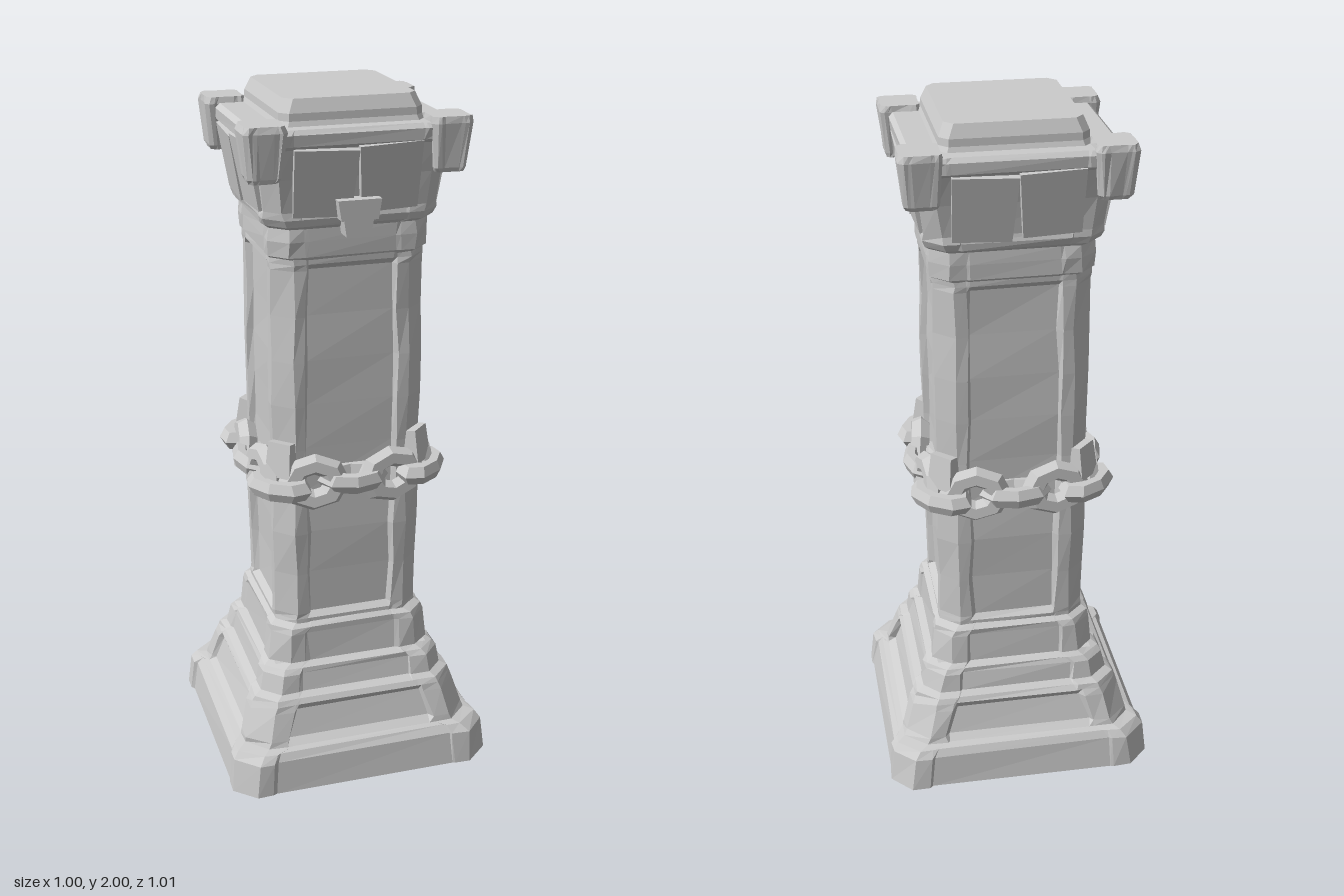
import * as THREE from 'three';

const stone = new THREE.MeshStandardMaterial({ color: 0xcccccc, flatShading: true, side: THREE.DoubleSide });
stone.name = 'grey stone';

// The plan is slightly deeper than wide
const PLAN = [0.97, 1.03];

let seed = 7;
const rand = () => {
  seed = (seed * 16807) % 2147483647;
  return seed / 2147483647 - 0.5;
};

// Rectangular ring with chamfered corners; p = half width of the side panel, r = its recess
function ring([y, a, c, p = a * 0.6, r = 0], rough, plan) {
  const pts = [];
  for (let k = 0; k < 4; k++) {
    const e = a - c, b = Math.min(0.01, p / 3);
    const side = [[-e, a], [-p, a], [-p + b, a - r], [p - b, a - r], [p, a], [e, a]];
    for (const [u, d] of side) {
      let x = u + rand() * rough * 1.5, z = d + rand() * rough;
      for (let n = 0; n < k; n++) [x, z] = [z, -x];
      pts.push([x * plan[0], y, z * plan[1]]);
    }
  }
  return pts;
}

// Skin between successive rings, with optional flat ends
function loft(levels, { rough = 0, plan = PLAN, top = true, bottom = false } = {}) {
  const rings = levels.map((l) => ring(l, rough, plan));
  const out = [];
  const n = rings[0].length;
  for (let j = 0; j < rings.length - 1; j++) {
    for (let i = 0; i < n; i++) {
      const k = (i + 1) % n, lo = rings[j], hi = rings[j + 1];
      out.push(...lo[i], ...lo[k], ...hi[k], ...lo[i], ...hi[k], ...hi[i]);
    }
  }
  const cap = (r, flip) => {
    for (let i = 0; i < n; i++) {
      const a = r[i], b = r[(i + 1) % n];
      out.push(...(flip ? b : a), ...(flip ? a : b), 0, a[1], 0);
    }
  };
  if (top) cap(rings[rings.length - 1], false);
  if (bottom) cap(rings[0], true);
  const g = new THREE.BufferGeometry();
  g.setAttribute('position', new THREE.Float32BufferAttribute(out, 3));
  g.computeVertexNormals();
  return g;
}

function add(parent, name, geometry) {
  const m = new THREE.Mesh(geometry, stone);
  m.name = name;
  parent.add(m);
  return m;
}

function addGroup(parent, name) {
  const g = new THREE.Group();
  g.name = name;
  parent.add(g);
  return g;
}

// Block whose lower end is narrowed by taper
function block(w, h, d, taper) {
  const g = new THREE.BoxGeometry(w, h, d);
  const p = g.attributes.position;
  for (let i = 0; i < p.count; i++) {
    if (p.getY(i) < 0) p.setX(i, p.getX(i) * taper);
  }
  return g;
}

export function createModel() {
  const model = new THREE.Group();
  model.name = 'stonePillar';
  const pillar = addGroup(model, 'pillar');
  pillar.rotation.y = -0.628;

  // Hollow stepped base, open below
  add(pillar, 'steppedBase', loft([
    [0.1, 0.337, 0.055], [0, 0.355, 0.055],
    [0, 0.386, 0.06, 0.28, 0.005], [0.1, 0.376, 0.06, 0.27, 0.007], [0.122, 0.36, 0.06, 0.26, 0.007],
    [0.128, 0.336, 0.06, 0.22], [0.145, 0.332, 0.06, 0.22, 0.016], [0.225, 0.309, 0.06, 0.195, 0.016],
    [0.245, 0.302, 0.06, 0.19], [0.26, 0.293, 0.055, 0.18],
    [0.27, 0.275, 0.05, 0.17, 0.006], [0.325, 0.265, 0.05, 0.17, 0.006], [0.34, 0.255, 0.05, 0.16],
    [0.35, 0.239, 0.05, 0.14, 0.006], [0.44, 0.232, 0.05, 0.14, 0.006],
    [0.458, 0.226, 0.05, 0.13], [0.475, 0.2, 0.05, 0.12],
  ], { rough: 0.006, top: false }));

  // Floor of the shaft, closing the hollow
  const ceiling = add(pillar, 'shaftFloor', new THREE.PlaneGeometry(0.44, 0.47));
  ceiling.rotation.x = Math.PI / 2;
  ceiling.position.y = 0.35;

  // Shaft with a sunken panel on every side
  const shaft = [[0.46, 0.211, 0.05, 0.128], [0.48, 0.211, 0.05, 0.128]];
  for (let i = 0; i <= 8; i++) {
    shaft.push([0.495 + i * 0.131, 0.211 + rand() * 0.004, 0.05, 0.128 + rand() * 0.012, 0.017]);
  }
  shaft.push([1.56, 0.211, 0.05, 0.128], [1.59, 0.211, 0.05, 0.128]);
  add(pillar, 'shaft', loft(shaft, { rough: 0.005, top: false }));

  // Collar and flaring capital
  add(pillar, 'capital', loft([
    [1.568, 0.204, 0.05, 0.13], [1.582, 0.217, 0.045, 0.13], [1.625, 0.219, 0.045, 0.13],
    [1.66, 0.216, 0.045, 0.13], [1.67, 0.23, 0.045, 0.15], [1.69, 0.236, 0.045, 0.15],
    [1.71, 0.233, 0.04, 0.15], [1.8, 0.244, 0.04, 0.16], [1.88, 0.261, 0.04, 0.17],
    [1.89, 0.273, 0.04, 0.18], [1.92, 0.276, 0.04, 0.18], [1.932, 0.264, 0.04, 0.18],
  ], { rough: 0.005 }));

  // Bevelled top slab
  add(pillar, 'topSlab', loft([
    [1.925, 0.212, 0.026], [1.945, 0.203, 0.024], [1.965, 0.202, 0.024], [2, 0.187, 0.024],
  ], { plan: [1.03, 0.97] }));

  // Flared blocks on the capital corners
  for (const sx of [-1, 1]) {
    for (const sz of [-1, 1]) {
      const m = add(pillar, 'cornerBlock', loft([
        [1.8, 0.04, 0.01], [1.812, 0.045, 0.01], [1.93, 0.057, 0.012], [1.948, 0.053, 0.012],
      ], { rough: 0.005, plan: [1, 1], bottom: true }));
      m.position.set(sx * 0.224, 0, sz * 0.252);
    }
  }

  // Cracked facing stones: two per side of the capital
  for (let k = 0; k < 4; k++) {
    const side = addGroup(pillar, 'capitalFacing');
    side.rotation.y = k * Math.PI / 2;
    for (const s of [-1, 1]) {
      const m = add(side, 'facingStone', block(0.175, 0.185, 0.03, 0.9));
      m.position.set(s * 0.09, 1.793 + s * 0.004, 0.245 * PLAN[(k + 1) % 2]);
      m.rotation.set(0.18, s * 0.03, s * 0.03);
    }
  }

  // Small bracket on one side
  const bracket = addGroup(pillar, 'bracket');
  bracket.position.set(0.232, 1.695, 0);
  bracket.rotation.y = Math.PI / 2;
  add(bracket, 'bracketHead', block(0.12, 0.055, 0.08, 0.85)).position.y = 0.022;
  add(bracket, 'bracketFoot', block(0.085, 0.055, 0.06, 0.8)).position.y = -0.025;

  // Heavy chain: flat links at corners and mid-sides, upright links between
  const chain = addGroup(pillar, 'chain');
  chain.position.y = 0.925;
  const addLink = (x, z, turn, upright, side) => {
    const link = addGroup(side, 'chainLink');
    link.position.set(x, rand() * 0.015, z);
    link.rotation.y = turn;
    const m = add(link, 'linkRing', new THREE.TorusGeometry(0.053, 0.031, 6, 8));
    m.scale.set(1.25, upright ? 1 : 0.75, 1);
    m.rotation.set(upright ? -0.1 : Math.PI / 2 + rand() * 0.3, 0, rand() * 0.15);
  };
  for (let k = 0; k < 4; k++) {
    const side = addGroup(chain, 'chainSide');
    side.rotation.y = k * Math.PI / 2;
    const d = 0.228 * PLAN[(k + 1) % 2], w = 0.228 * PLAN[k % 2];
    addLink(0, d, 0, false, side);
    for (const s of [-1, 1]) addLink(s * 0.115, d, s * 0.12, true, side);
    addLink(w * 0.9, d * 0.9, Math.PI / 4, false, side);
    // Stone stub above the chain on each corner
    const stub = add(side, 'cornerStub', block(0.07, 0.1, 0.05, 1.15));
    stub.position.set(w * 0.84, 0.07, d * 0.84);
    stub.rotation.set(-0.15, Math.PI / 4, 0, 'YXZ');
  }
  return model;
}
